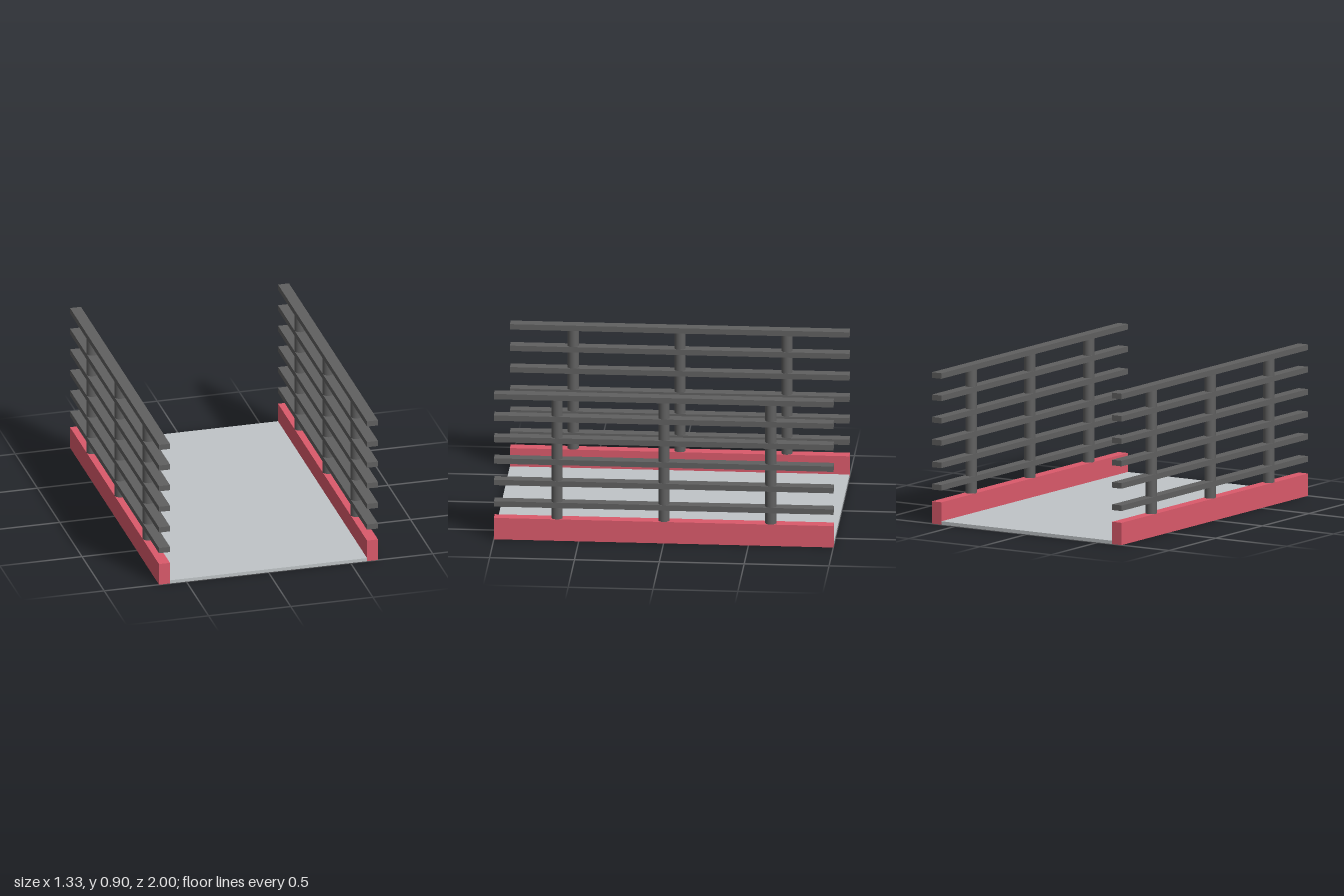
import * as THREE from 'three';

const LENGTH = 2, WIDTH = 1.333, KERB_W = 0.0667, KERB_H = 0.133;
const RAIL_H = 0.0333, RAIL_STEP = 0.1333, RAIL_COUNT = 6, TOP = 0.903;

export function createModel() {
  const model = new THREE.Group();
  model.name = 'bridgeDeck';

  const deckMat = new THREE.MeshStandardMaterial({ color: 0xc0c5c8 });
  const kerbMat = new THREE.MeshStandardMaterial({ color: 0xdb5a6b });
  const railMat = new THREE.MeshStandardMaterial({ color: 0x606060 });

  const add = (parent, name, geometry, material, x, y, z) => {
    const mesh = new THREE.Mesh(geometry, material);
    mesh.name = name;
    mesh.position.set(x, y, z);
    parent.add(mesh);
  };

  // Thin deck between the kerbs
  const deckGeo = new THREE.BoxGeometry(WIDTH - 2 * KERB_W, 0.02, LENGTH);
  add(model, 'deck', deckGeo, deckMat, 0, 0.01, 0);

  const kerbGeo = new THREE.BoxGeometry(KERB_W, KERB_H, LENGTH);
  const railGeo = new THREE.BoxGeometry(KERB_W, RAIL_H, LENGTH);
  const postH = TOP - RAIL_H - KERB_H;
  const postGeo = new THREE.CylinderGeometry(KERB_W / 2, KERB_W / 2, postH, 32);

  // Kerb and railing on each side
  for (const [name, sign] of [['left', 1], ['right', -1]]) {
    const side = new THREE.Group();
    side.name = name + 'Railing';
    side.position.x = sign * (WIDTH - KERB_W) / 2;
    model.add(side);

    add(side, 'kerb', kerbGeo, kerbMat, 0, KERB_H / 2, 0);
    for (let i = 0; i < RAIL_COUNT; i++) {
      add(side, 'rail', railGeo, railMat, 0, TOP - RAIL_H / 2 - i * RAIL_STEP, 0);
    }
    for (const z of [-0.63, 0, 0.63]) {
      add(side, 'post', postGeo, railMat, 0, KERB_H + postH / 2, z);
    }
  }
  return model;
}
